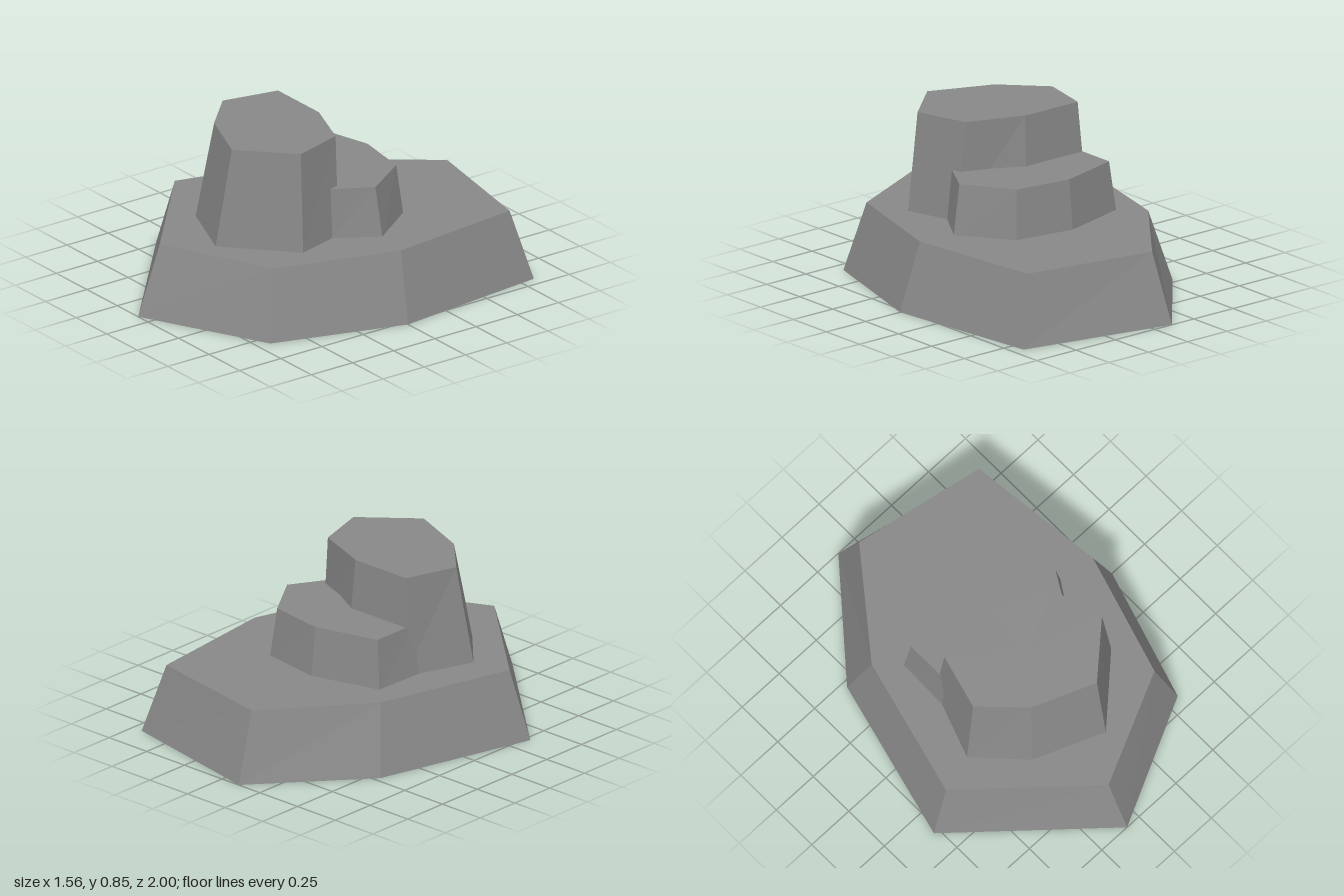
import * as THREE from 'three';

const stone = new THREE.MeshStandardMaterial({ color: 0x888888 });
stone.name = 'grey stone';

// Tapered faceted block; both outlines are [x, z] corners, clockwise from above.
// An outline corner may carry its own height as a third value.
function taperedRock(name, lower, upper, y0, y1) {
  const loop = (outline, y) => outline.map(([x, z, h = y]) => new THREE.Vector3(x, h, z));
  const centre = (pts) => pts.reduce((s, p) => s.add(p), new THREE.Vector3()).divideScalar(pts.length);
  const b = loop(lower, y0), t = loop(upper, y1);
  const bc = centre(b), tc = centre(t);
  const tris = [];
  for (let i = 0; i < b.length; i++) {
    const j = (i + 1) % b.length;
    tris.push(b[j], b[i], t[i], b[j], t[i], t[j]); // side
    tris.push(tc, t[j], t[i]);                     // top
    tris.push(bc, b[i], b[j]);                     // underside
  }
  const geometry = new THREE.BufferGeometry().setFromPoints(tris);
  geometry.computeVertexNormals();
  const mesh = new THREE.Mesh(geometry, stone);
  mesh.name = name;
  return mesh;
}

export function createModel() {
  const group = new THREE.Group();
  group.name = 'steppedRock';

  // Wide slab on the ground
  group.add(taperedRock('baseSlab',
    [[-0.11, -1], [0.69, -0.83], [0.78, 0], [0.57, 0.68], [-0.08, 1], [-0.78, 0.37], [-0.56, -0.47]],
    [[-0.085, -0.88], [0.6, -0.75], [0.68, -0.03], [0.49, 0.6], [-0.08, 0.87], [-0.67, 0.34], [-0.48, -0.38]],
    0, 0.35));

  // Low step at the back, running into the tall rock
  group.add(taperedRock('backStep',
    [[-0.37, -0.27], [-0.01, -0.37], [0.31, -0.32], [0.49, -0.06], [0.35, 0.16], [0, 0.25], [-0.38, 0.06]],
    [[-0.34, -0.25], [-0.01, -0.34], [0.285, -0.295], [0.445, -0.05], [0.33, 0.145], [0, 0.22], [-0.34, 0]],
    0.34, 0.6));

  // Tall rock in front
  group.add(taperedRock('tallRock',
    [[-0.48, 0.29], [-0.35, -0.07], [0.03, -0.07], [0.345, 0.1], [0.42, 0.37], [0.1, 0.665], [-0.26, 0.52]],
    [[-0.4, 0.25, 0.845], [-0.325, -0.03], [0.01, -0.03], [0.295, 0.08], [0.375, 0.35],
      [0.12, 0.58, 0.847], [-0.2, 0.45, 0.847]],
    0.34, 0.853));

  return group;
}
